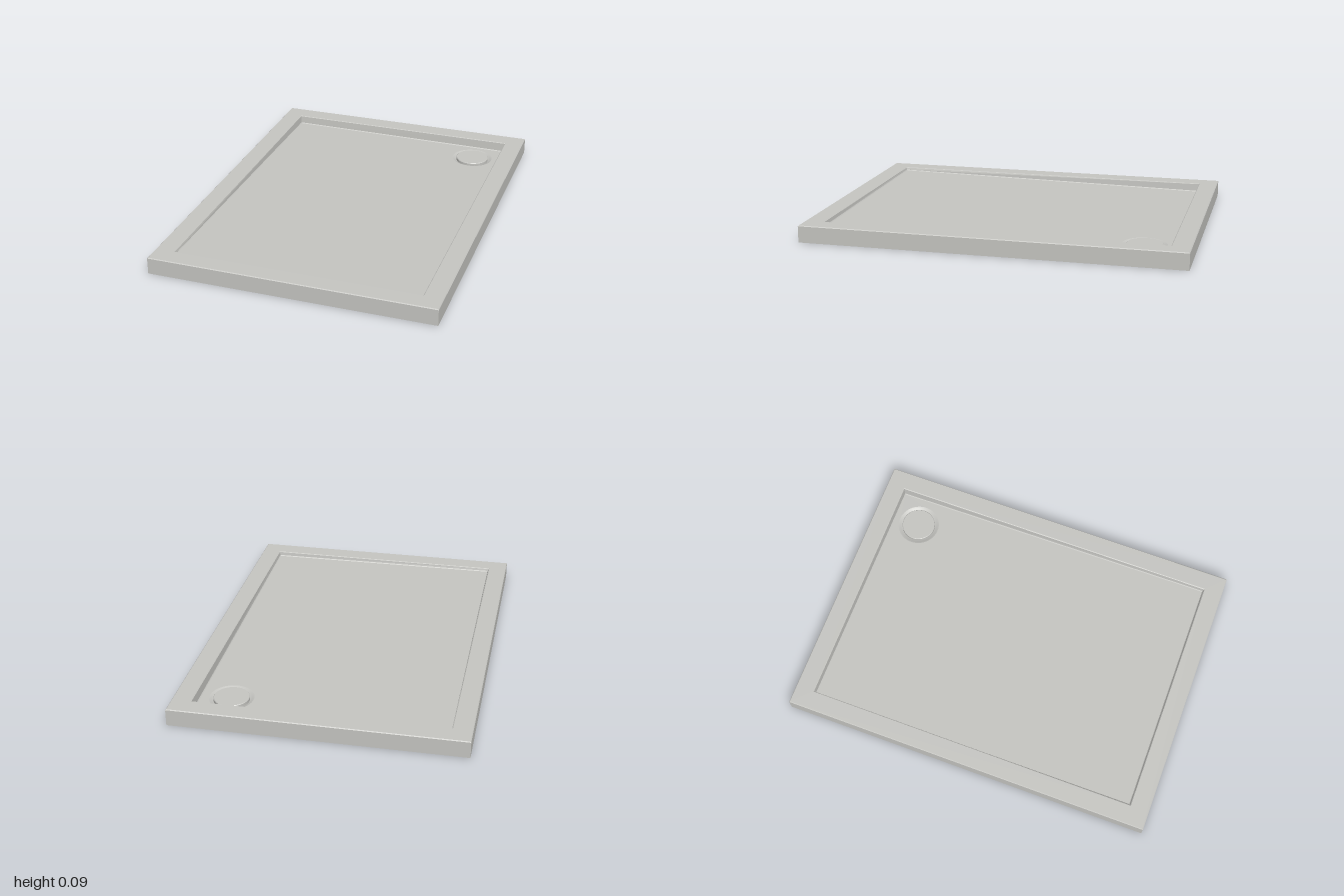
import * as THREE from 'three';
import { toCreasedNormals } from 'three/addons/utils/BufferGeometryUtils.js';

const DRAIN = { x: 0.487, z: -0.748, r: 0.092, outer: 0.115 };
const FLOOR = { hx: 0.641, hz: 0.891 };

// Floor plane, falling gently towards the drain corner
const floorY = (x, z) => 0.054 - 0.006 * x + 0.016 * z;

// Skin a series of rectangular loops, each a function from corner to height
function rectLoft(loops) {
  const corners = [[1, 1], [1, -1], [-1, -1], [-1, 1]];
  const rings = loops.map(({ hx, hz, y }) => corners.map(([sx, sz]) => {
    const x = sx * hx, z = sz * hz;
    return [x, typeof y === 'function' ? y(x, z) : y, z];
  }));
  const pos = [];
  for (let i = 0; i < rings.length - 1; i++) {
    for (let k = 0; k < 4; k++) {
      const n = (k + 1) % 4;
      const a = rings[i][k], b = rings[i][n], c = rings[i + 1][n], d = rings[i + 1][k];
      pos.push(...a, ...b, ...c, ...a, ...c, ...d);
    }
  }
  const geo = new THREE.BufferGeometry();
  geo.setAttribute('position', new THREE.Float32BufferAttribute(pos, 3));
  geo.computeVertexNormals();
  return geo;
}

// Move every vertex's height by a rule
function lift(geo, rule) {
  const p = geo.attributes.position;
  for (let i = 0; i < p.count; i++) p.setY(i, p.getY(i) + rule(p.getX(i), p.getZ(i)));
  geo.computeVertexNormals();
  return geo;
}

const lathe = (points) =>
  new THREE.LatheGeometry(points.map(([r, y]) => new THREE.Vector2(r, y)), 48);

export function createModel() {
  const group = new THREE.Group();
  const acrylic = new THREE.MeshStandardMaterial({ color: 0xc4c4c0, side: THREE.DoubleSide });
  acrylic.name = 'pale grey acrylic';

  const add = (name, geo) => {
    const mesh = new THREE.Mesh(geo, acrylic);
    mesh.name = name;
    group.add(mesh);
    return mesh;
  };

  // Outer skirt, flat rim and recess wall, open underneath
  add('rimAndSkirt', rectLoft([
    { hx: 0.75, hz: 1, y: 0 },
    { hx: 0.75, hz: 1, y: 0.086 },
    { hx: 0.746, hz: 0.996, y: 0.09 },
    { hx: 0.652, hz: 0.902, y: 0.09 },
    { hx: 0.648, hz: 0.898, y: 0.087 },
    { hx: 0.645, hz: 0.895, y: (x, z) => floorY(x, z) + 0.004 },
    { ...FLOOR, y: floorY },
  ]));

  // Sloping floor with a hole for the drain dish
  const { hx, hz } = FLOOR;
  const shape = new THREE.Shape();
  shape.moveTo(-hx, -hz).lineTo(hx, -hz).lineTo(hx, hz).lineTo(-hx, hz).closePath();
  shape.holes.push(new THREE.Path().absarc(DRAIN.x, -DRAIN.z, DRAIN.outer, 0, Math.PI * 2, true));
  const floor = new THREE.ShapeGeometry(shape, 24).rotateX(-Math.PI / 2);
  add('floor', lift(floor, floorY));

  // Shallow dish around the drain
  const dish = lathe([[DRAIN.outer, 0], [0.104, -0.004], [DRAIN.r, -0.012], [0, -0.012]]);
  dish.translate(DRAIN.x, 0, DRAIN.z);
  add('drainDish', toCreasedNormals(lift(dish, floorY), 0.6));

  // Round drain cover with a softened edge
  const r = DRAIN.r;
  const cover = lathe([[r, 0.026], [r, 0.043], [r - 0.003, 0.046], [0, 0.046]]);
  add('drainCover', toCreasedNormals(cover, 0.5)).position.set(DRAIN.x, 0, DRAIN.z);

  return group;
}
